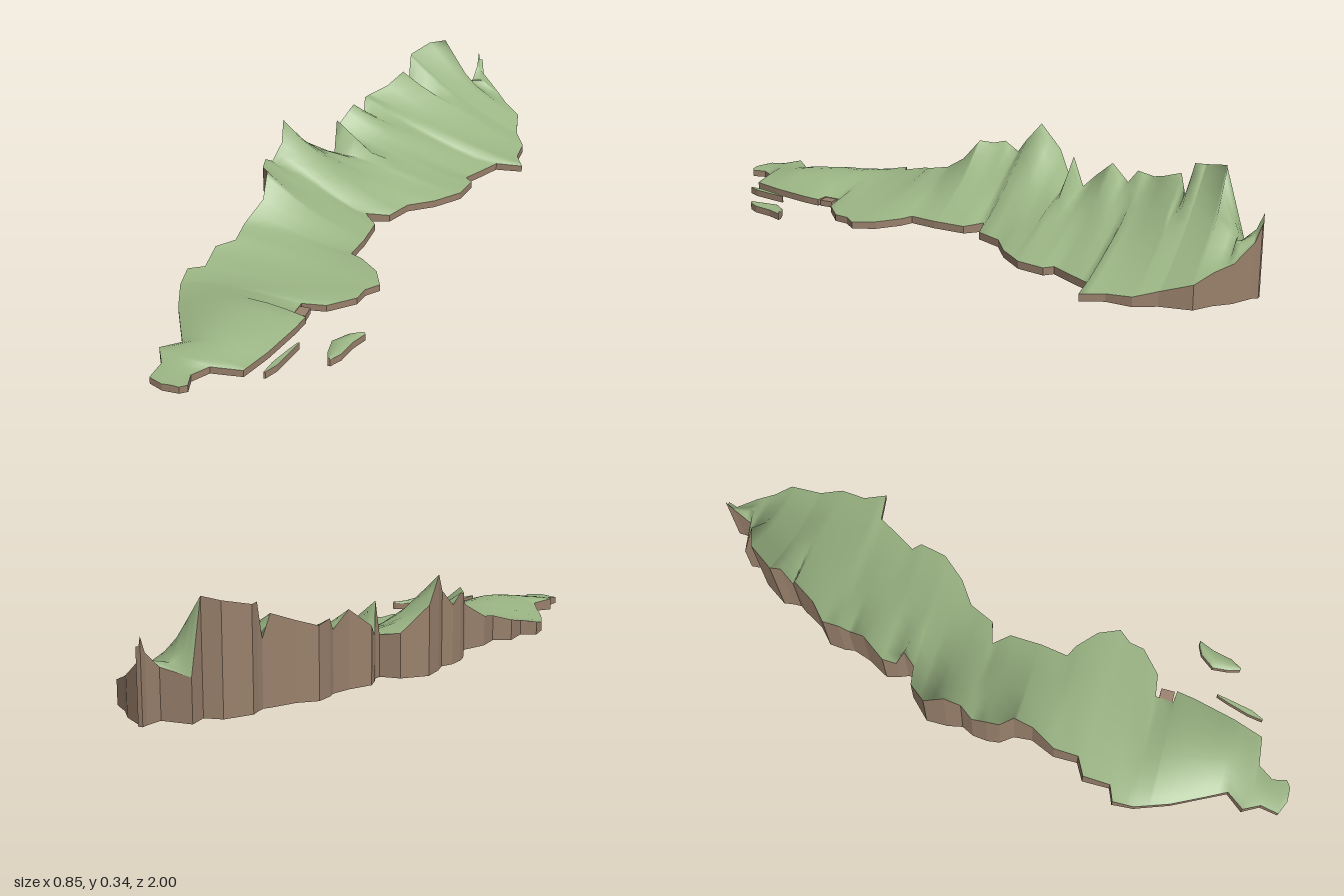
import * as THREE from 'three';

const grass = new THREE.MeshStandardMaterial({ color: 0x9bb584 });
grass.name = 'grass green';
const earth = new THREE.MeshStandardMaterial({ color: 0x9a816c, flatShading: true });
earth.name = 'earth brown';

// West coast, north to south: z, x, cliff height
const WEST = [
  [-1, 0.165, 0.25], [-0.98, 0.165, 0.2], [-0.93, 0.155, 0.15], [-0.92, 0.06, 0.13],
  [-0.86, 0.065, 0.34], [-0.845, 0.01, 0.33], [-0.77, -0.04, 0.31], [-0.735, -0.035, 0.31],
  [-0.71, -0.035, 0.2], [-0.69, -0.05, 0.27], [-0.62, -0.09, 0.24], [-0.575, -0.14, 0.22],
  [-0.52, -0.145, 0.23], [-0.49, -0.14, 0.19], [-0.43, -0.16, 0.24], [-0.36, -0.2, 0.18],
  [-0.32, -0.19, 0.14], [-0.29, -0.178, 0.24], [-0.265, -0.18, 0.13], [-0.255, -0.245, 0.14],
  [-0.19, -0.31, 0.22], [-0.12, -0.31, 0.3], [-0.07, -0.3, 0.24], [-0.03, -0.32, 0.19],
  [0.02, -0.325, 0.22], [0.06, -0.32, 0.21], [0.1, -0.29, 0.22], [0.16, -0.285, 0.15],
  [0.24, -0.32, 0.1], [0.32, -0.32, 0.085], [0.35, -0.375, 0.07], [0.44, -0.375, 0.05],
  [0.46, -0.425, 0.045], [0.53, -0.42, 0.03], [0.64, -0.38, 0.025], [0.74, -0.33, 0.025],
  [0.81, -0.295, 0.03], [0.865, -0.34, 0.04], [0.92, -0.31, 0.03], [0.98, -0.32, 0.022],
  [1, -0.275, 0.022],
];
// East coast, north to south: z, x, shore height
const EAST = [
  [-1, 0.18, 0.22], [-0.985, 0.19, 0.17], [-0.945, 0.255, 0.12], [-0.9, 0.295, 0.1],
  [-0.86, 0.35, 0.075], [-0.765, 0.365, 0.045], [-0.7, 0.4, 0.03], [-0.62, 0.395, 0.024],
  [-0.55, 0.425, 0.022], [-0.54, 0.335, 0.024], [-0.47, 0.295, 0.024], [-0.405, 0.255, 0.024],
  [-0.38, 0.28, 0.024], [-0.29, 0.26, 0.024], [-0.21, 0.19, 0.024], [-0.155, 0.11, 0.024],
  [-0.07, 0.07, 0.024], [-0.05, -0.005, 0.03], [0, 0.04, 0.024], [0.11, 0.035, 0.024],
  [0.2, 0.02, 0.024], [0.22, 0.06, 0.024], [0.28, 0.125, 0.024], [0.35, 0.155, 0.022],
  [0.39, 0.12, 0.022], [0.44, 0.11, 0.022], [0.505, 0.035, 0.022], [0.515, -0.04, 0.022],
  [0.575, -0.045, 0.022], [0.58, -0.005, 0.022], [0.64, -0.015, 0.022], [0.78, -0.05, 0.022],
  [0.88, -0.085, 0.022], [0.89, -0.18, 0.022], [0.94, -0.215, 0.022], [0.985, -0.205, 0.022],
  [1, -0.225, 0.022],
];

// Linear lookup of column k along a coast
function sample(coast, z, k) {
  for (let i = 1; i < coast.length; i++) {
    if (z <= coast[i][0]) {
      const [a, b] = [coast[i - 1], coast[i]];
      const t = Math.max(0, (z - a[0]) / (b[0] - a[0]));
      return a[k] + (b[k] - a[k]) * t;
    }
  }
  return coast[coast.length - 1][k];
}

function mesh(name, positions, index, material) {
  const geometry = new THREE.BufferGeometry();
  geometry.setAttribute('position', new THREE.Float32BufferAttribute(positions, 3));
  geometry.setIndex(index);
  geometry.computeVertexNormals();
  const m = new THREE.Mesh(geometry, material);
  m.name = name;
  return m;
}

// Land slab between two coasts: relief on top, earth walls and flat underside
function land(name, west, east, dome) {
  const group = new THREE.Group();
  group.name = name;
  const zs = [...new Set([...west, ...east].map((p) => p[0]))].sort((a, b) => a - b);
  const steps = [0, 0.06, 0.15, 0.28, 0.42, 0.56, 0.7, 0.85, 1];
  const cols = steps.length;
  const top = [], bottom = [], up = [], down = [];

  zs.forEach((z, i) => {
    const xw = sample(west, z, 1), xe = sample(east, z, 1);
    const hw = sample(west, z, 2), he = sample(east, z, 2);
    // Sharp cliff peaks fade quickly inland into a smoother slope
    let soft = 0;
    for (let k = -3; k <= 3; k++) soft += sample(west, z + k * 0.02, 2) / 7;
    steps.forEach((t, j) => {
      const x = xw + (xe - xw) * t;
      const h = he + (soft - he) * Math.pow(1 - t, 1.25)
        + (hw - soft) * Math.max(0, 1 - t * 3) + dome(z) * 4 * t * (1 - t);
      top.push(x, h, z);
      bottom.push(x, 0, z);
      if (i && j) {
        const d = i * cols + j, c = d - 1, b = d - cols, a = b - 1;
        up.push(a, c, b, b, c, d);
        down.push(a, b, c, b, d, c);
      }
    });
  });

  // Walls follow the rim: west side, south end, east side, north end
  const rim = [], n = zs.length;
  for (let i = 0; i < n; i++) rim.push(i * cols);
  for (let j = 1; j < cols; j++) rim.push((n - 1) * cols + j);
  for (let i = n - 2; i >= 0; i--) rim.push(i * cols + cols - 1);
  for (let j = cols - 2; j > 0; j--) rim.push(j);
  const wall = [], sides = [];
  rim.forEach((v, i) => {
    wall.push(...top.slice(v * 3, v * 3 + 3), ...bottom.slice(v * 3, v * 3 + 3));
    const p = i * 2, q = ((i + 1) % rim.length) * 2;
    sides.push(p, p + 1, q, q, p + 1, q + 1);
  });

  group.add(
    mesh(name + 'Relief', top, up, grass),
    mesh(name + 'Cliffs', wall, sides, earth),
    mesh(name + 'Underside', bottom, down, earth),
  );
  return group;
}

export function createModel() {
  const model = new THREE.Group();
  model.name = 'reliefMap';
  // Mainland with a low southern plateau
  model.add(land('mainland', WEST, EAST, (z) => 0.045 * Math.exp(-(((z - 0.68) / 0.17) ** 2))));

  // Two islands off the south-east coast
  const h = 0.022;
  model.add(land('largeIsland',
    [[0.615, 0.175, h], [0.63, 0.14, h], [0.675, 0.105, h], [0.73, 0.11, h], [0.765, 0.12, h]],
    [[0.615, 0.187, h], [0.665, 0.165, h], [0.73, 0.15, h], [0.765, 0.128, h]], () => 0.006));
  model.add(land('narrowIsland',
    [[0.71, 0.015, h], [0.75, 0, h], [0.82, -0.022, h], [0.87, -0.03, h]],
    [[0.71, 0.02, h], [0.75, 0.012, h], [0.83, -0.005, h], [0.87, -0.025, h]], () => 0));

  // Bare earth patch in the eastern inlet
  const patch = new THREE.Mesh(new THREE.BoxGeometry(0.036, 0.02, 0.045), earth);
  patch.name = 'barePatch';
  patch.position.set(-0.026, 0.01, 0.55);
  model.add(patch);
  return model;
}
